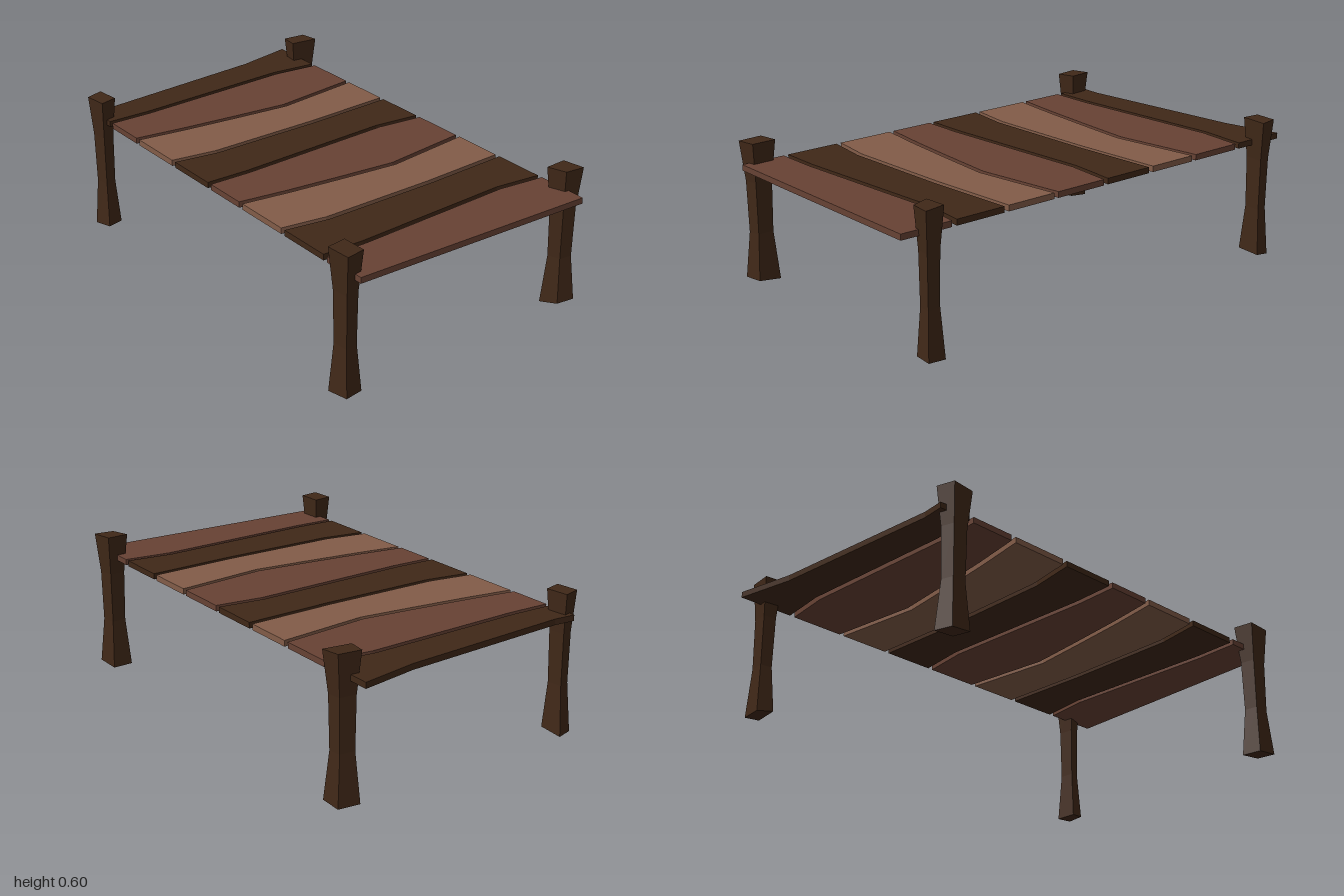
import * as THREE from 'three';

const material = (color) => new THREE.MeshStandardMaterial({ color, flatShading: true, roughness: 0.9 });

// Wavy gaps between planks: [x, z] points, repeating every three planks.
// null x marks the plank's left or right end.
const SEAMS = [
  [[null, -0.745], [-0.36, -0.741], [0.34, -0.772], [null, -0.749]],
  [[null, -0.528], [-0.34, -0.497], [-0.09, -0.468], [0.15, -0.443], [null, -0.49]],
  [[null, -0.252], [-0.36, -0.222], [0.145, -0.225], [null, -0.243]],
];
const REPEAT = 0.754;
const GAP = 0.022;

// The deck drifts slightly towards -x at the front
const leftEnd = (z) => -0.5575 - 0.0125 * z;
const rightEnd = (z) => 0.53 - 0.0175 * z;

function seam(i, offset) {
  const points = SEAMS[i % 3];
  return points.map(([x, z], k) => {
    const zz = z + REPEAT * Math.floor(i / 3);
    const end = k === 0 ? leftEnd(zz) : rightEnd(zz);
    return [x === null ? end : x - 0.013 * Math.floor(i / 3), zz + offset];
  });
}

function plankGeometry(back, front) {
  const outline = [...front, ...back.slice().reverse()];
  const shape = new THREE.Shape(outline.map(([x, z]) => new THREE.Vector2(x, -z)));
  const geometry = new THREE.ExtrudeGeometry(shape, { depth: 0.025, bevelEnabled: false });
  return geometry.rotateX(-Math.PI / 2).translate(0, 0.488, 0);
}

// Post: four-sided column, waisted in the middle, from its top corners
// (back left, back right, front right, front left in the x/z plane)
function postGeometry(corners) {
  const geometry = new THREE.BoxGeometry(1, 1, 1, 1, 3, 1).toNonIndexed();
  const heights = [0, 0.21, 0.43, 0.6];
  const scales = [0.96, 0.66, 0.72, 1];
  const cx = corners.reduce((s, c) => s + c[0], 0) / 4;
  const cz = corners.reduce((s, c) => s + c[1], 0) / 4;
  const p = geometry.attributes.position;
  for (let i = 0; i < p.count; i++) {
    const ring = Math.round((p.getY(i) + 0.5) * 3);
    const right = p.getX(i) > 0;
    const front = p.getZ(i) > 0;
    const [x, z] = corners[front ? (right ? 2 : 3) : (right ? 1 : 0)];
    // the foot is cut slightly on the skew
    const lift = ring === 0 && front ? 0.014 : 0;
    p.setXYZ(i, cx + (x - cx) * scales[ring], heights[ring] + lift, cz + (z - cz) * scales[ring]);
  }
  geometry.computeVertexNormals();
  return geometry;
}

export function createModel() {
  const group = new THREE.Group();
  const dark = material(0x402818);
  const brown = material(0x674234);
  const light = material(0x825c48);
  const add = (name, geometry, mat) => {
    const mesh = new THREE.Mesh(geometry, mat);
    mesh.name = name;
    group.add(mesh);
  };

  // Deck planks, back to front
  const backEdge = [[-0.545, -0.897], [-0.45, -0.89], [0.3, -0.95], [0.55, -1]];
  const frontEdge = [[-0.57, 0.97], [0.51, 1]];
  const shades = [dark, brown, light];
  for (let i = 0; i < 8; i++) {
    const back = i === 0 ? backEdge : seam(i - 1, GAP / 2);
    const front = i === 7 ? frontEdge : seam(i, -GAP / 2);
    add(`plank${i + 1}`, plankGeometry(back, front), shades[i % 3]);
  }

  // Corner posts
  const posts = {
    frontRightPost: [[-0.62, 0.845], [-0.535, 0.832], [-0.533, 0.94], [-0.615, 0.953]],
    frontLeftPost: [[0.465, 0.845], [0.56, 0.84], [0.575, 0.935], [0.49, 0.925]],
    backRightPost: [[-0.585, -0.865], [-0.51, -0.888], [-0.5, -0.785], [-0.575, -0.765]],
    backLeftPost: [[0.505, -0.918], [0.603, -0.908], [0.615, -0.828], [0.495, -0.843]],
  };
  for (const [name, corners] of Object.entries(posts)) add(name, postGeometry(corners), dark);

  return group;
}
